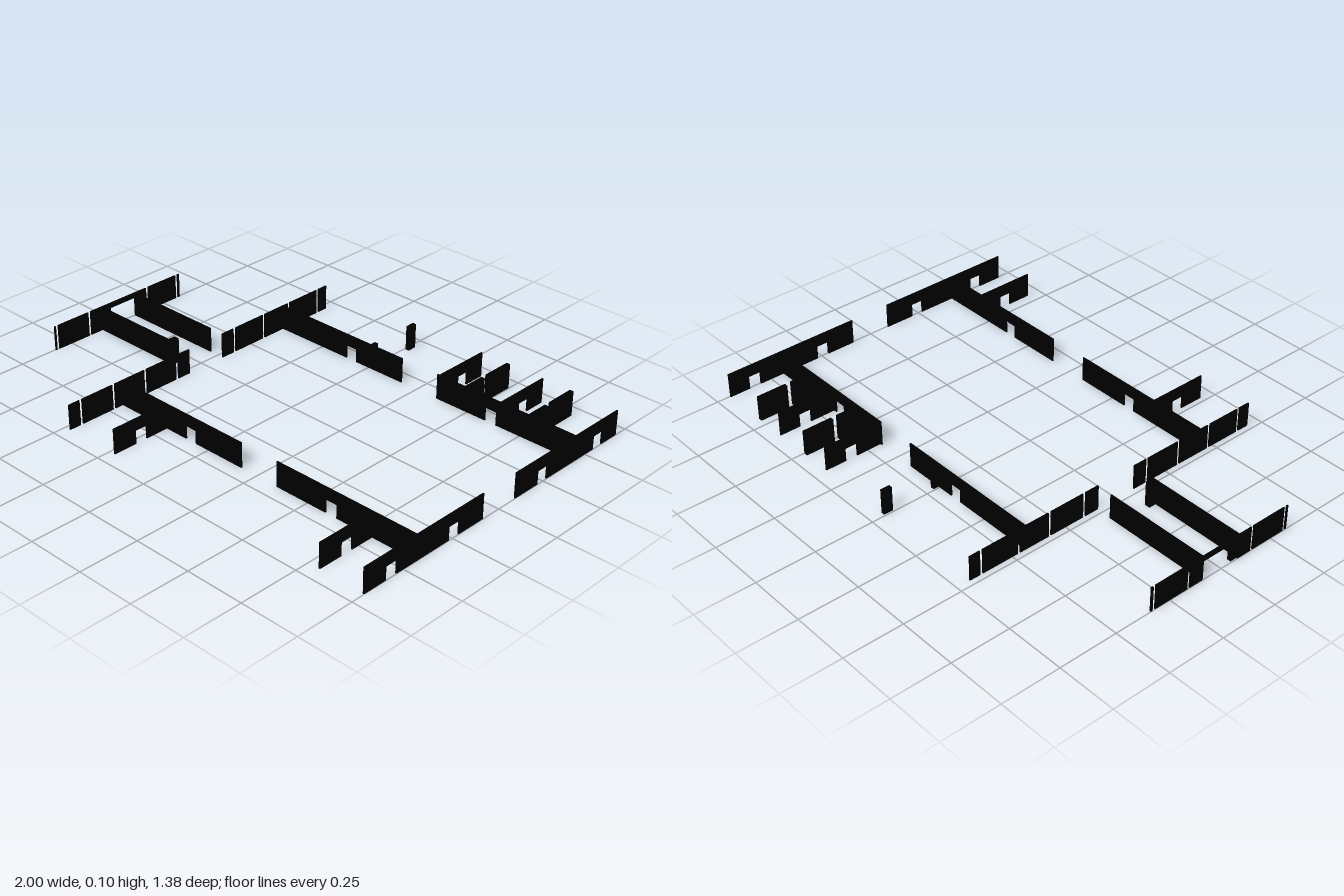
import * as THREE from 'three';

const H = 0.105;        // wall height
const T = 0.006;        // thin wall thickness
const DOOR = { w: 0.052, h: 0.055 };

export function createModel() {
  const model = new THREE.Group();
  const black = new THREE.MeshStandardMaterial({ color: 0x000000 });
  black.name = 'black';

  // Upright wall panel from a to b along one axis, with doorways cut from its foot.
  // Each door is [centre, width, height].
  function wall(name, axis, at, a, b, doors = [], thick = T) {
    const s = new THREE.Shape();
    s.moveTo(a, 0);
    for (const [c, w = DOOR.w, h = DOOR.h] of [...doors].sort((p, q) => p[0] - q[0])) {
      s.lineTo(c - w / 2, 0);
      s.lineTo(c - w / 2, h);
      s.lineTo(c + w / 2, h);
      s.lineTo(c + w / 2, 0);
    }
    s.lineTo(b, 0);
    s.lineTo(b, H);
    s.lineTo(a, H);
    s.closePath();
    const geo = new THREE.ExtrudeGeometry(s, { depth: thick, bevelEnabled: false });
    geo.translate(0, 0, -thick / 2);
    const mesh = new THREE.Mesh(geo, black);
    mesh.name = name;
    if (axis === 'z') {
      // shape x becomes world z
      geo.rotateY(-Math.PI / 2);
      mesh.position.x = at;
    } else {
      mesh.position.z = at;
    }
    model.add(mesh);
  }

  // Wall along z broken by narrow full-height slits
  function slitWall(name, x, a, b, slits, doors = []) {
    const gap = 0.012;
    const edges = [a, ...slits.flatMap((s) => [s - gap / 2, s + gap / 2]), b];
    for (let i = 0; i < edges.length; i += 2) {
      const [p, q] = [edges[i], edges[i + 1]];
      wall(name, 'z', x, p, q, doors.filter(([c]) => c > p && c < q));
    }
  }

  // Long walls of the main hall, each with a doorway
  for (const [name, z] of [['frontHallWall', 0.432], ['backHallWall', -0.438]]) {
    wall(name + 'Right', 'x', z, -0.475, 0.172, [[-0.092]]);
    wall(name + 'Left', 'x', z, 0.35, 0.997, [[0.612]]);
  }

  // End walls: doors on the left end, slits on the right end
  wall('leftEndWallFront', 'z', 0.997, 0.087, 0.692, [[0.242], [0.56]]);
  wall('leftEndWallBack', 'z', 0.997, -0.692, -0.092, [[-0.245], [-0.575]]);
  slitWall('rightEndWallFront', -0.474, 0.087, 0.692, [0.152, 0.315, 0.475, 0.635]);
  slitWall('rightEndWallBack', -0.474, -0.692, -0.092, [-0.64, -0.47, -0.325, -0.16]);

  // Front room partitions
  for (const x of [-0.225, 0.8]) {
    wall('frontPartition', 'z', x, 0.432, 0.69, [[0.56]]);
  }

  // Back room partitions: thin ones with doors, thick ones in two pieces
  for (const x of [0.36, 0.655]) {
    wall('backPartition', 'z', x, -0.692, -0.438, [[-0.575]]);
  }
  for (const x of [0.49, 0.79]) {
    wall('thickPartitionOuter', 'z', x, -0.692, -0.562, [], 0.017);
    wall('thickPartitionInner', 'z', x, -0.538, -0.438, [], 0.017);
  }

  // Free-standing post and its matching stub on the back wall
  wall('backPost', 'z', 0.014, -0.692, -0.652, [], 0.016);
  wall('backStub', 'z', 0.014, -0.465, -0.438, [], 0.016);

  // Entrance wing: end wall with a tall doorway, two side walls, two jambs
  slitWall('wingEndWall', -0.997, -0.34, 0.333, [-0.325, -0.16, 0.152, 0.32], [[-0.004, 0.176, 0.083]]);
  wall('wingBackWall', 'x', -0.094, -1, -0.542);
  wall('wingFrontWall', 'x', 0.086, -1, -0.57);
  wall('wingOuterJamb', 'z', -0.987, 0.052, 0.086, [], 0.016);
  wall('wingInnerJamb', 'z', -0.582, 0.052, 0.086, [], 0.024);

  return model;
}
